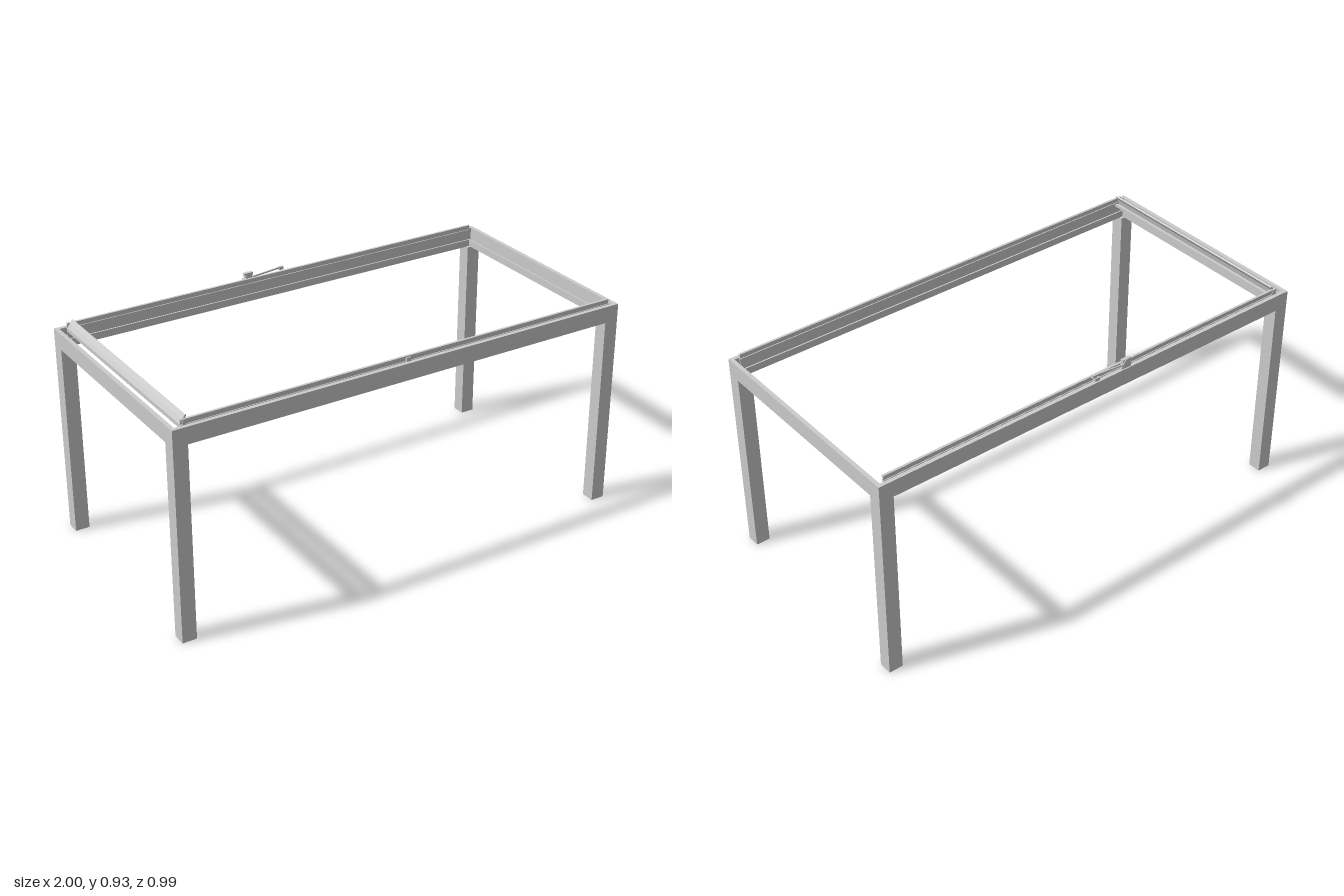
import * as THREE from 'three';

const grey = new THREE.MeshStandardMaterial({ color: 0xcccccc, flatShading: true, side: THREE.DoubleSide });
const HX = 1, HZ = 0.495; // half length and half depth of the frame

export function createModel() {
  const model = new THREE.Group();

  const add = (name, geometry, x = 0, y = 0, z = 0, parent = model) => {
    const mesh = new THREE.Mesh(geometry, grey);
    mesh.name = name;
    mesh.position.set(x, y, z);
    parent.add(mesh);
    return mesh;
  };
  const box = (name, x0, x1, y0, y1, z0, z1, parent) =>
    add(name, new THREE.BoxGeometry(x1 - x0, y1 - y0, z1 - z0), (x0 + x1) / 2, (y0 + y1) / 2, (z0 + z1) / 2, parent);

  // Rectangular ring between two insets from the outer edge
  const rect = (Type, inset) => {
    const x = HX - inset, z = HZ - inset;
    return new Type([[-x, -z], [x, -z], [x, z], [-x, z]].map(p => new THREE.Vector2(...p)));
  };
  const ring = (name, outer, inner, y0, y1) => {
    const shape = rect(THREE.Shape, outer);
    shape.holes.push(rect(THREE.Path, inner));
    const g = new THREE.ExtrudeGeometry(shape, { depth: y1 - y0, bevelEnabled: false });
    add(name, g.rotateX(-Math.PI / 2), 0, y0);
  };

  // Extrude an x-y outline along z, centred on z = 0
  const prism = (points, length) => {
    const shape = new THREE.Shape(points.map(p => new THREE.Vector2(...p)));
    return new THREE.ExtrudeGeometry(shape, { depth: length, bevelEnabled: false }).translate(0, 0, -length / 2);
  };

  // Four square legs
  for (const sx of [-1, 1]) for (const sz of [-1, 1])
    add('leg', new THREE.BoxGeometry(0.06, 0.821, 0.057), sx * 0.97, 0.4105, sz * (HZ - 0.0285));

  // Gutter frame: outer wall, floor and low inner lip
  ring('beamOuterWall', 0, 0.017, 0.82, 0.89);
  ring('gutterFloor', 0.015, 0.043, 0.82, 0.828);
  ring('gutterInnerLip', 0.038, 0.044, 0.82, 0.85);

  // Guide rails standing in the long gutters
  for (const s of [-1, 1]) {
    const rail = new THREE.Group();
    rail.name = 'guideRail';
    model.add(rail);
    const z = s * 0.47;
    box('railWeb', -0.955, 0.965, 0.828, 0.91, z - 0.002, z + 0.002, rail);
    box('railTopFlange', -0.955, 0.965, 0.904, 0.911, z - 0.005, z + 0.005, rail);
    box('railLowerFlange', -0.955, 0.965, 0.885, 0.891, z - 0.006, z + 0.006, rail);
  }

  // Leaning cross bar over the short end, with a hooked foot
  add('crossBar', prism([
    [-0.955, 0.874], [-0.926, 0.874], [-0.926, 0.886], [-0.931, 0.886], [-0.931, 0.88],
    [-0.945, 0.88], [-0.939, 0.904], [-0.928, 0.92], [-0.932, 0.925], [-0.945, 0.908], [-0.955, 0.89],
  ], 0.935));
  for (const s of [-1, 1]) {
    const wheel = add('barRoller', new THREE.CylinderGeometry(0.01, 0.01, 0.008, 12), -0.94, 0.9, s * 0.473);
    wheel.rotation.x = Math.PI / 2;
  }

  // Crank drive on the back beam
  const crank = new THREE.Group();
  crank.name = 'crankDrive';
  model.add(crank);
  box('crankBase', -0.165, -0.12, 0.89, 0.91, -0.49, -0.476, crank);
  const knob = add('crankKnob', new THREE.CylinderGeometry(0.016, 0.016, 0.018, 12), -0.14, 0.916, -0.486, crank);
  knob.rotation.x = Math.PI / 2;
  box('crankCap', -0.16, -0.12, 0.922, 0.932, -0.492, -0.478, crank);
  const arm = add('crankArm', new THREE.BoxGeometry(0.15, 0.006, 0.006), -0.052, 0.914, -0.486, crank);
  arm.rotation.z = 0.09;
  box('crankHandle', 0.005, 0.025, 0.911, 0.924, -0.491, -0.479, crank);
  box('crankRest', -0.012, 0.012, 0.888, 0.903, -0.488, -0.478, crank);

  // Small clip midway along the front rail
  box('railClip', -0.01, 0.01, 0.884, 0.906, 0.469, 0.48);

  return model;
}
